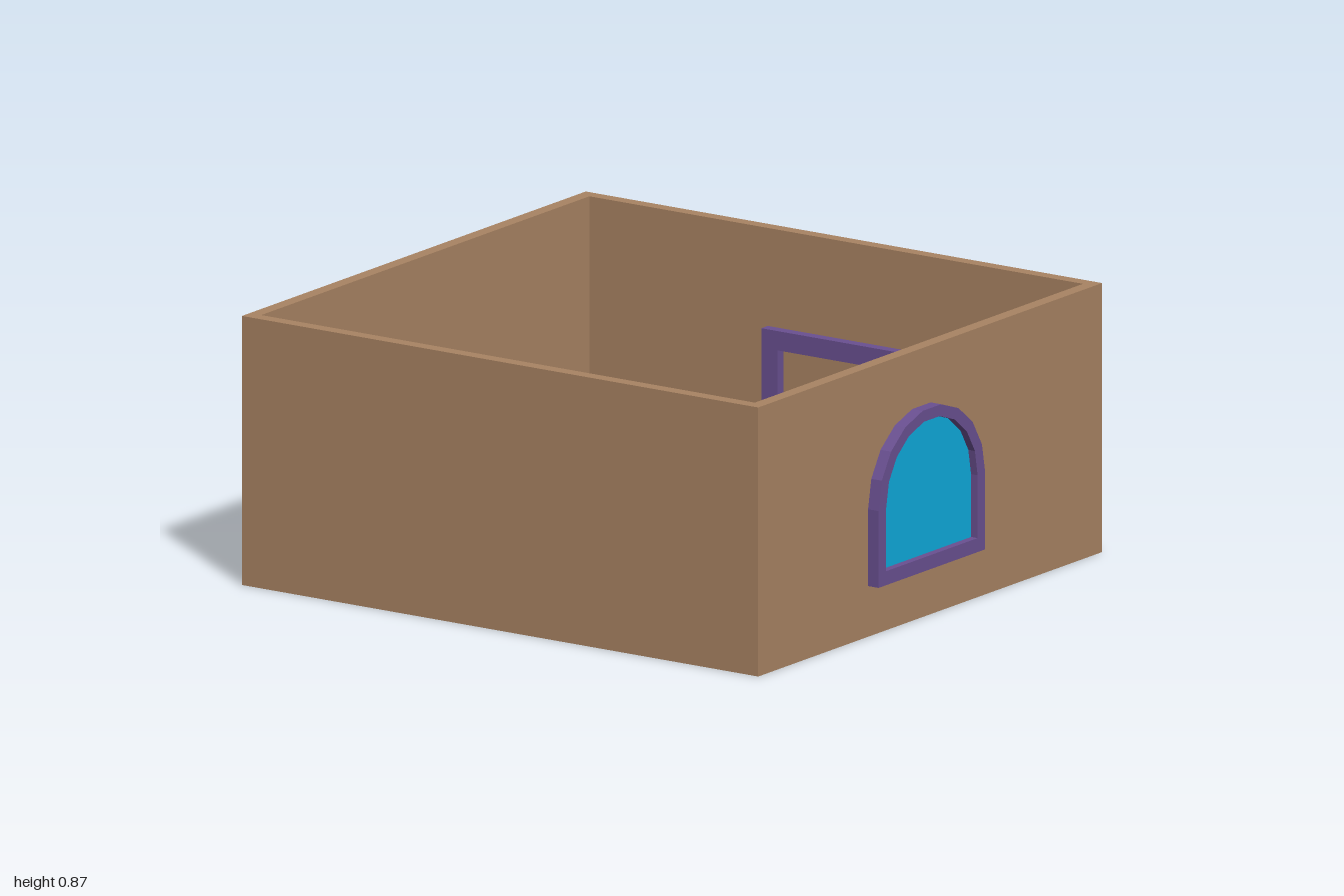
import * as THREE from 'three';

const paint = (color) => new THREE.MeshStandardMaterial({ color, flatShading: true });

export function createModel() {
  const room = new THREE.Group();
  room.name = 'room';
  const brown = paint(0xa98463), purple = paint(0x6a5091);
  const blue = paint(0x0eaadc), dark = paint(0x4a3a4a);

  const add = (name, geometry, material, x = 0, y = 0, z = 0) => {
    const mesh = new THREE.Mesh(geometry, material);
    mesh.name = name;
    mesh.position.set(x, y, z);
    room.add(mesh);
    return mesh;
  };
  const extrude = (shape, depth) =>
    new THREE.ExtrudeGeometry(shape, { depth, bevelEnabled: false }).translate(0, 0, -depth / 2);

  // Walls: one square ring raised to full height
  const rect = (P, x0, x1, z0, z1) => {
    const p = new P();
    p.moveTo(x0, -z1).lineTo(x1, -z1).lineTo(x1, -z0).lineTo(x0, -z0).closePath();
    return p;
  };
  const ring = rect(THREE.Shape, -1, 0.96, -0.915, 0.95);
  ring.holes.push(rect(THREE.Path, -0.957, 0.917, -0.873, 0.907));
  const wallHeight = 0.865;
  add('walls', extrude(ring, wallHeight).rotateX(-Math.PI / 2), brown, 0, wallHeight / 2, 0);

  // Floor: thin slab inside the ring
  add('floor', new THREE.BoxGeometry(1.874, 0.01, 1.78), brown, -0.02, 0.005, 0.017);

  // Door in the back wall: surround, panel and a knob on each side
  const surround = new THREE.Shape();
  [[-0.27, 0], [-0.208, 0], [-0.208, 0.488], [0.208, 0.488], [0.208, 0], [0.27, 0], [0.27, 0.55], [-0.27, 0.55]]
    .forEach(([x, y], i) => (i ? surround.lineTo(x, y) : surround.moveTo(x, y)));
  add('doorFrame', extrude(surround, 0.112), purple, -0.01, 0, -0.894);
  add('doorPanel', new THREE.BoxGeometry(0.416, 0.478, 0.048), brown, -0.01, 0.249, -0.894);
  for (const [name, z] of [['innerKnob', -0.852], ['outerKnob', -0.929]]) {
    add(name, new THREE.SphereGeometry(0.021, 16, 10), dark, 0.12, 0.235, z);
  }

  // Arched window in the left wall
  const arch = (P, half, bottom, rise) => {
    const p = new P();
    p.moveTo(-half, bottom).lineTo(half, bottom);
    for (let i = 0; i <= 9; i++) {
      const a = (i * Math.PI) / 9;
      p.lineTo(half * Math.cos(a), 0.41 + rise * Math.sin(a));
    }
    p.closePath();
    return p;
  };
  const opening = [0.248, 0.208, 0.238];
  const frame = arch(THREE.Shape, 0.289, 0.163, 0.275);
  frame.holes.push(arch(THREE.Path, ...opening));
  add('windowFrame', extrude(frame, 0.12).rotateY(Math.PI / 2), purple, 0.94, 0, 0.065);
  add('windowPane', extrude(arch(THREE.Shape, ...opening), 0.07).rotateY(Math.PI / 2), blue, 0.94, 0, 0.065);

  return room;
}
